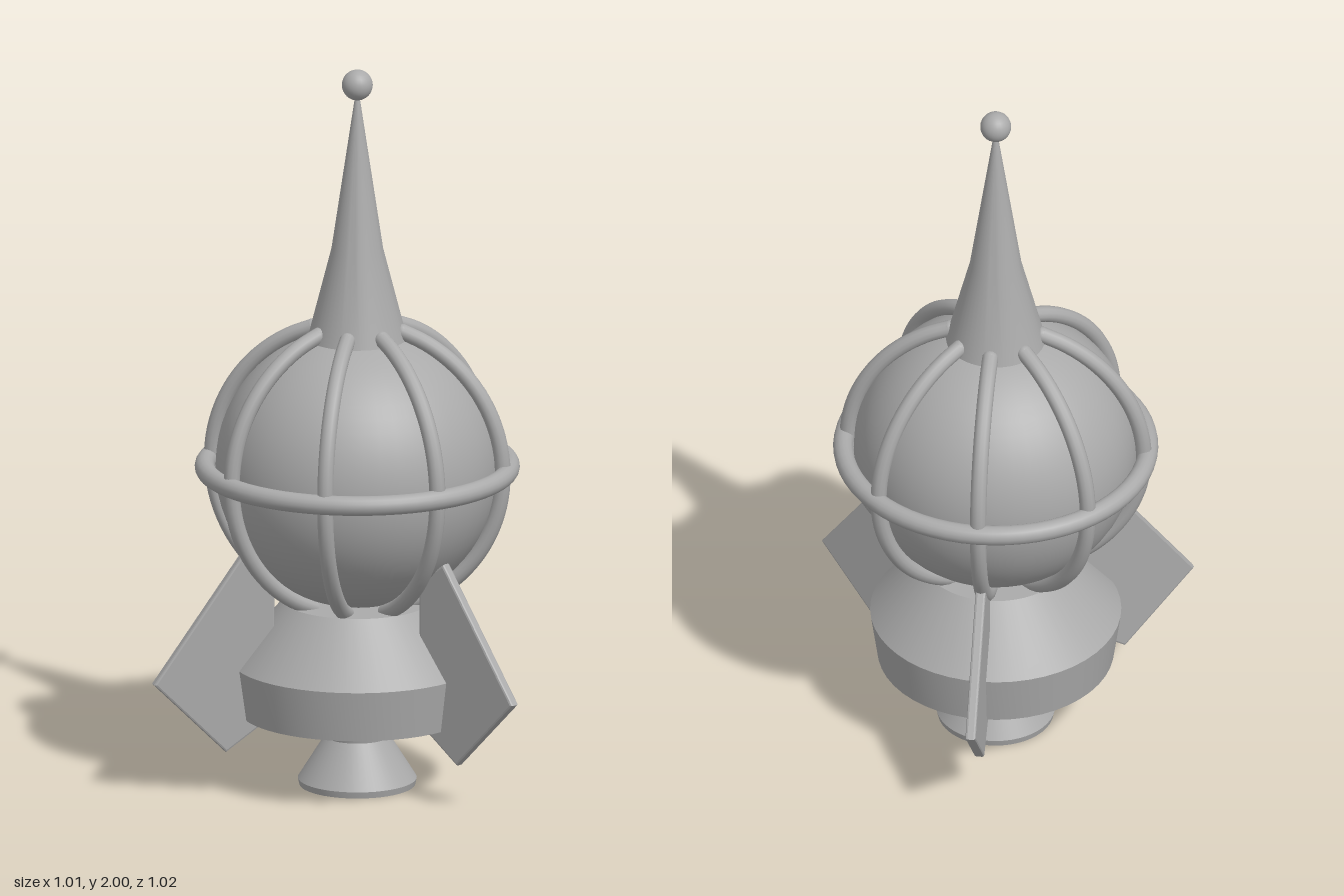
import * as THREE from 'three';
import { toCreasedNormals } from 'three/addons/utils/BufferGeometryUtils.js';

const BALL_Y = 0.89;

export function createModel() {
  const model = new THREE.Group();
  model.name = 'rocket';
  const grey = new THREE.MeshStandardMaterial({ color: 0xaaaaaa });
  grey.name = 'plain grey';

  // Everything turns about one vertical axis, set slightly forward
  const rocket = new THREE.Group();
  rocket.name = 'rocketBody';
  rocket.position.z = 0.07;
  model.add(rocket);

  const add = (name, geometry, parent = rocket) => {
    const mesh = new THREE.Mesh(geometry, grey);
    mesh.name = name;
    parent.add(mesh);
    return mesh;
  };
  // Turned part from [radius, height] points, listed upwards on the outside
  const turned = (points, crease = 0.5) => toCreasedNormals(
    new THREE.LatheGeometry(points.map(([r, y]) => new THREE.Vector2(r, y)), 48), crease);

  // Round cabin with its equator ring
  add('cabin', new THREE.SphereGeometry(0.384, 48, 32)).position.y = BALL_Y;
  const ring = add('equatorRing', new THREE.TorusGeometry(0.413, 0.027, 16, 64));
  ring.rotation.x = Math.PI / 2;
  ring.position.y = BALL_Y;

  // Eight cage ribs, from the spire down to the engine housing
  const ribPoints = [];
  for (let i = 0; i <= 16; i++) {
    const a = THREE.MathUtils.degToRad(18 + (142 * i) / 16);
    ribPoints.push(new THREE.Vector3(0.403 * Math.sin(a), 0.403 * Math.cos(a), 0));
  }
  const ribGeometry = new THREE.TubeGeometry(new THREE.CatmullRomCurve3(ribPoints), 40, 0.022, 12);
  const ribEnd = new THREE.SphereGeometry(0.022, 12, 8);
  for (let i = 0; i < 8; i++) {
    const rib = add('cageRib', ribGeometry);
    rib.position.y = BALL_Y;
    rib.rotation.y = (i * Math.PI) / 4;
    add('ribEnd', ribEnd, rib).position.copy(ribPoints[0]);
  }

  // Spire and its ball tip
  add('spire', turned([[0, 1.247], [0.135, 1.247], [0.07, 1.5], [0.004, 1.94]]));
  add('spireTip', new THREE.SphereGeometry(0.042, 24, 16)).position.y = 1.958;

  // Engine housing and hollow nozzle
  add('engineHousing', turned([[0, 0.205], [0.32, 0.205], [0.34, 0.345], [0.2, 0.515], [0, 0.515]]));
  add('nozzle', turned([
    [0, 0.14], [0.06, 0.13], [0.15, 0.002], [0.157, 0], [0.161, 0.018],
    [0.088, 0.135], [0.104, 0.21],
  ]));

  // Three fins, one straight back and two splayed forward
  const finShape = new THREE.Shape([
    [0.24, 0.215], [0.375, 0.123], [0.577, 0.325], [0.325, 0.672], [0.24, 0.61],
  ].map(([r, y]) => new THREE.Vector2(r, y)));
  const finGeometry = new THREE.ExtrudeGeometry(finShape, {
    depth: 0.016, bevelEnabled: true, bevelThickness: 0.006,
    bevelSize: 0.006, bevelOffset: -0.004, bevelSegments: 2,
  });
  finGeometry.translate(0, 0, -0.008);
  for (let i = 0; i < 3; i++) {
    add('fin', finGeometry).rotation.y = Math.PI / 2 + (i * 2 * Math.PI) / 3;
  }

  return model;
}
